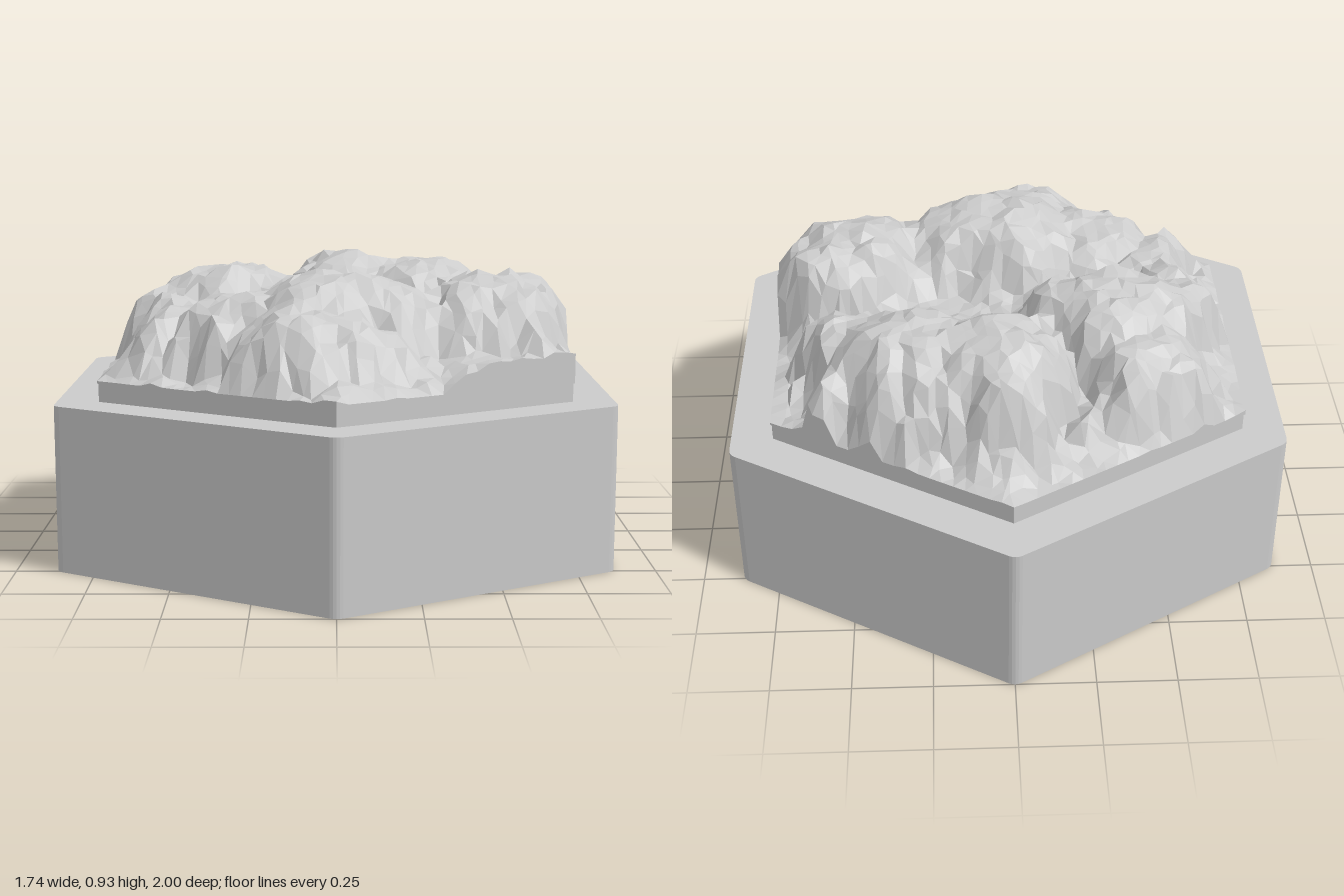
import * as THREE from 'three';

const SIDES = 6;
const FLOOR = 0.59;
const ROCK_RADIUS = 0.859;

// Loop of points around a hexagon with rounded corners (corners on +z and -z)
function hexLoop(radius, y, corner) {
  const pts = [];
  const c = Math.min(corner, radius * 0.5);
  const centre = radius - c / Math.cos(Math.PI / 6);
  for (let s = 0; s < SIDES; s++) {
    const a = Math.PI / 2 + (s * Math.PI) / 3;
    for (let i = 0; i <= 4; i++) {
      const b = a + ((i - 2) / 2) * (Math.PI / 6);
      pts.push([centre * Math.cos(a) + c * Math.cos(b), y, centre * Math.sin(a) + c * Math.sin(b)]);
    }
  }
  return pts;
}

function facetedGeometry(positions) {
  const geo = new THREE.BufferGeometry();
  geo.setAttribute('position', new THREE.Float32BufferAttribute(positions.flat(), 3));
  geo.computeVertexNormals();
  return geo;
}

// Skin a list of [radius, y, corner] hexagon sections
function loft(sections) {
  const loops = sections.map(([r, y, c = 0.002]) => hexLoop(r, y, c));
  const out = [];
  for (let k = 0; k + 1 < loops.length; k++) {
    const lo = loops[k], hi = loops[k + 1], n = lo.length;
    for (let j = 0; j < n; j++) {
      const m = (j + 1) % n;
      out.push(lo[m], lo[j], hi[j], lo[m], hi[j], hi[m]);
    }
  }
  return facetedGeometry(out);
}

// Seeded smooth value noise in the range -1..1
function hash(i, j, seed) {
  const v = Math.sin(i * 127.1 + j * 311.7 + seed * 74.7) * 43758.5453;
  return (v - Math.floor(v)) * 2 - 1;
}
function noise(x, z, seed) {
  const i = Math.floor(x), j = Math.floor(z);
  const fade = (t) => t * t * (3 - 2 * t);
  const u = fade(x - i), v = fade(z - j);
  const mix = THREE.MathUtils.lerp;
  return mix(
    mix(hash(i, j, seed), hash(i + 1, j, seed), u),
    mix(hash(i, j + 1, seed), hash(i + 1, j + 1, seed), u), v);
}

// Rock masses: centre x, centre z, radius x, radius z, top height
const MASSES = [
  [0, 0.02, 0.6, 0.5, 0.72],        // core filling the valleys
  [0, 0.31, 0.38, 0.31, 0.925],     // front centre
  [-0.26, 0.31, 0.31, 0.25, 0.86],  // front left
  [-0.05, 0.51, 0.33, 0.23, 0.82],  // front toe
  [0.48, 0.23, 0.31, 0.27, 0.91],   // front right
  [0.59, 0.12, 0.2, 0.15, 0.9],     // right shoulder
  [0.55, 0.46, 0.36, 0.3, 0.685],   // front right ledge
  [0.3, -0.36, 0.35, 0.26, 0.9],    // back right
  [0.5, -0.24, 0.19, 0.21, 0.84],   // back right shoulder
  [0.04, -0.4, 0.25, 0.31, 0.92],   // back ridge
  [-0.34, -0.15, 0.34, 0.28, 0.9],  // left
  [-0.42, -0.36, 0.27, 0.24, 0.83], // back left
  [-0.48, 0.22, 0.22, 0.24, 0.8],   // left shoulder
  [-0.53, -0.05, 0.17, 0.28, 0.83], // left edge
];

// Distance from a point inside the rock hexagon to its rim
function rimGap(x, z) {
  const across = Math.max(Math.abs(x), Math.abs(x) * 0.5 + Math.abs(z) * 0.866);
  return Math.max(0, ROCK_RADIUS * 0.866 - across);
}

function rockHeight(x, z) {
  // Warping the position makes buttresses and gullies on the steep sides
  const wx = x + 0.035 * noise(x * 8, z * 8, 1) + 0.03 * noise(x * 16, z * 16, 2);
  const wz = z + 0.035 * noise(x * 8, z * 8, 3) + 0.03 * noise(x * 16, z * 16, 4);
  // Craggy apron rising from the rim
  let h = FLOOR + Math.min(0.075, rimGap(x, z) * 0.6) * (0.8 + 0.7 * noise(x * 18, z * 18, 9));
  for (const [cx, cz, rx, rz, top] of MASSES) {
    const d = Math.hypot((wx - cx) / rx, (wz - cz) / rz);
    if (d < 1) h = Math.max(h, FLOOR + (top - FLOOR) * Math.pow(1 - d ** 3, 0.8));
  }
  const rough = 0.014 * noise(x * 11, z * 11, 5) + 0.02 * Math.abs(noise(x * 21, z * 21, 6)) - 0.01;
  return Math.max(FLOOR, h + rough);
}

// Faceted rock surface on a hexagonal lattice, with a vertical skirt on its rim
function rockGeometry(radius, rings, skirtY) {
  const corner = (s) => {
    const a = Math.PI / 2 + (s * Math.PI) / 3;
    return [Math.cos(a), Math.sin(a)];
  };
  const lattice = [];
  for (let k = 0; k <= rings; k++) {
    const ring = [];
    for (let n = 0; n < Math.max(1, SIDES * k); n++) {
      const s = k ? Math.floor(n / k) : 0;
      const t = k ? (n % k) / k : 0;
      const [ax, az] = corner(s), [bx, bz] = corner(s + 1);
      const r = (radius * k) / rings;
      let x = r * (ax + (bx - ax) * t), z = r * (az + (bz - az) * t);
      if (k < rings) {
        const j = (0.36 * radius) / rings;
        x += j * hash(k, n, 7);
        z += j * hash(k, n, 8);
      }
      ring.push([x, rockHeight(x, z), z]);
    }
    lattice.push(ring);
  }
  const at = (k, n) => lattice[k][n % lattice[k].length];
  const out = [];
  for (let k = 1; k <= rings; k++) {
    for (let s = 0; s < SIDES; s++) {
      for (let i = 0; i < k; i++) {
        const a = at(k, s * k + i), b = at(k, s * k + i + 1);
        const c = at(k - 1, s * (k - 1) + i);
        out.push(c, b, a);
        if (i < k - 1) out.push(c, at(k - 1, s * (k - 1) + i + 1), b);
        if (k === rings) {
          const a0 = [a[0], skirtY, a[2]], b0 = [b[0], skirtY, b[2]];
          out.push(b0, a0, a, b0, a, b);
        }
      }
    }
  }
  return facetedGeometry(out);
}

export function createModel() {
  const group = new THREE.Group();
  group.name = 'rockyHexTile';
  const material = new THREE.MeshStandardMaterial({ color: 0xcccccc, flatShading: true });
  const add = (name, geometry) => {
    const mesh = new THREE.Mesh(geometry, material);
    mesh.name = name;
    group.add(mesh);
  };

  // Hollow base: ceiling, sloped shoulder, inner wall, rim, outer wall, deck
  add('hollowBase', loft([
    [0.01, 0.41], [0.755, 0.41], [0.878, 0.298], [0.878, 0],
    [1.006, 0, 0.04], [1.006, 0.525, 0.04], [0.8, 0.525],
  ]));

  // Low step under the rocks
  add('plinth', loft([[0.854, 0.525], [0.854, 0.583], [0.8, 0.583]]));

  // Rocky terrain
  add('rocks', rockGeometry(ROCK_RADIUS, 21, 0.583));

  return group;
}
